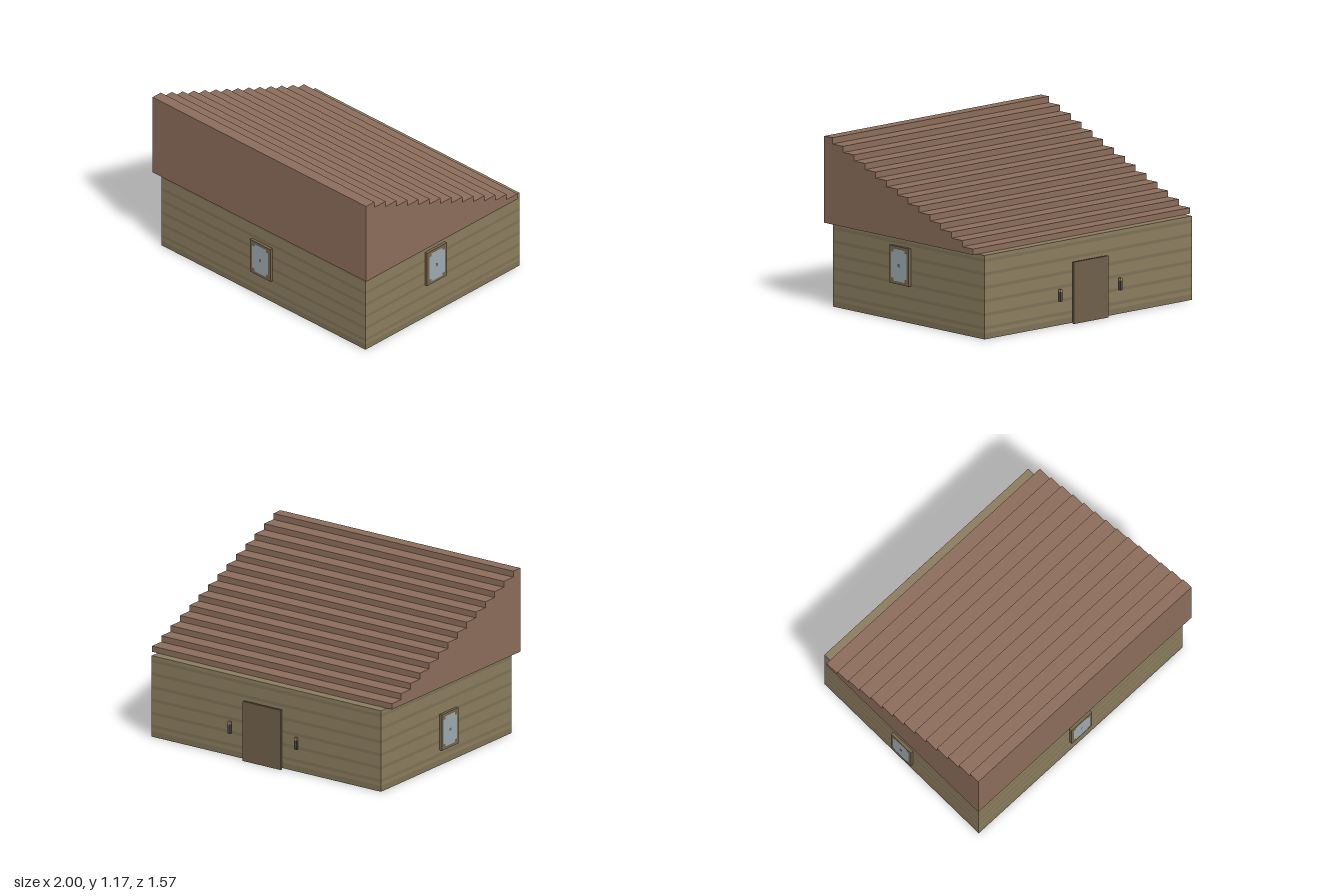
import * as THREE from 'three';

const paint = (color) => new THREE.MeshStandardMaterial({ color, flatShading: true });
const mats = {
  plank: paint(0x8b7d5f), seam: paint(0x7f7256), roof: paint(0x8b6d5a), frame: paint(0x75664d),
  glass: paint(0x9dabb2), door: paint(0x6f604a), lamp: paint(0x4b4a50), flame: paint(0xb8925a),
};

// Box given by its lower and upper corners
function box(name, mat, [x0, y0, z0], [x1, y1, z1]) {
  const mesh = new THREE.Mesh(new THREE.BoxGeometry(x1 - x0, y1 - y0, z1 - z0), mat);
  mesh.position.set((x0 + x1) / 2, (y0 + y1) / 2, (z0 + z1) / 2);
  mesh.name = name;
  return mesh;
}

// Window facing +z with its back on z = 0
function makeWindow(name, height) {
  const group = new THREE.Group();
  group.name = name;
  const w = 0.095, h = height / 2, d = 0.021;
  group.add(box('windowFrame', mats.frame, [-w, -h, 0], [w, h, d]));
  // Pane with notched corners
  const a = w - 0.02, b = h - 0.02, n = 0.021;
  const corners = [
    [a, n - b], [a, b - n], [a - n, b - n], [a - n, b], [n - a, b], [n - a, b - n],
    [-a, b - n], [-a, n - b], [n - a, n - b], [n - a, -b], [a - n, -b], [a - n, n - b],
  ];
  const shape = new THREE.Shape(corners.map(([x, y]) => new THREE.Vector2(x, y)));
  const pane = new THREE.Mesh(new THREE.ShapeGeometry(shape), mats.glass);
  pane.position.z = d + 0.001;
  pane.name = 'windowPane';
  group.add(pane);
  group.add(box('windowStud', mats.frame, [-0.01, -0.01, d], [0.01, 0.01, d + 0.002]));
  return group;
}

export function createModel() {
  const house = new THREE.Group();
  house.name = 'house';

  // Plank walls: stacked courses with darker seams
  const walls = new THREE.Group();
  walls.name = 'walls';
  const wallTop = 0.577, levels = [0, 0.04];
  for (let y = 0.065; y < 0.56; y += 0.093) levels.push(y, y + 0.022);
  levels.push(wallTop);
  for (let i = 0; i < levels.length - 1; i++) {
    walls.add(box('wallCourse', i % 2 ? mats.plank : mats.seam,
      [-0.957, levels[i], -0.745], [0.955, levels[i + 1], 0.745]));
  }
  house.add(walls);

  // Stepped shed roof: side profile swept along x
  const steps = 14, run = 0.1065, rise = 0.0427, top = 1.173;
  const profile = new THREE.Shape();
  profile.moveTo(-0.785, wallTop);
  let back = 0.68;
  profile.lineTo(back, wallTop);
  for (let i = steps - 1; i >= 0; i--) {
    const y = top - i * rise;
    profile.lineTo(back, y);
    back = i > 0 ? back - run : -0.785;
    profile.lineTo(back, y);
  }
  const roofGeo = new THREE.ExtrudeGeometry(profile, { depth: 2, bevelEnabled: false });
  roofGeo.translate(0, 0, -1).rotateY(Math.PI / 2);
  const roof = new THREE.Mesh(roofGeo, mats.roof);
  roof.name = 'roof';
  house.add(roof);

  // Windows on the front and both sides
  const front = makeWindow('frontWindow', 0.255);
  front.position.set(-0.01, 0.298, 0.745);
  const left = makeWindow('leftWindow', 0.26);
  left.position.set(0.955, 0.385, 0.075);
  left.rotation.y = Math.PI / 2;
  const right = makeWindow('rightWindow', 0.255);
  right.position.set(-0.957, 0.237, 0.015);
  right.rotation.y = -Math.PI / 2;
  house.add(front, left, right);

  // Back door: inner panel with a larger slab over it
  house.add(box('doorFrame', mats.frame, [-0.13, 0, -0.769], [0.146, 0.405, -0.745]));
  house.add(box('door', mats.door, [-0.15, 0, -0.785], [0.167, 0.425, -0.769]));

  // Lamps on either side of the door
  for (const x of [-0.27, 0.283]) {
    const lamp = new THREE.Group();
    lamp.name = 'lamp';
    lamp.add(box('lampBody', mats.lamp, [x - 0.01, 0.17, -0.785], [x + 0.01, 0.236, -0.767]));
    lamp.add(box('lampTop', mats.flame, [x - 0.01, 0.236, -0.785], [x + 0.01, 0.254, -0.767]));
    house.add(lamp);
  }
  return house;
}
